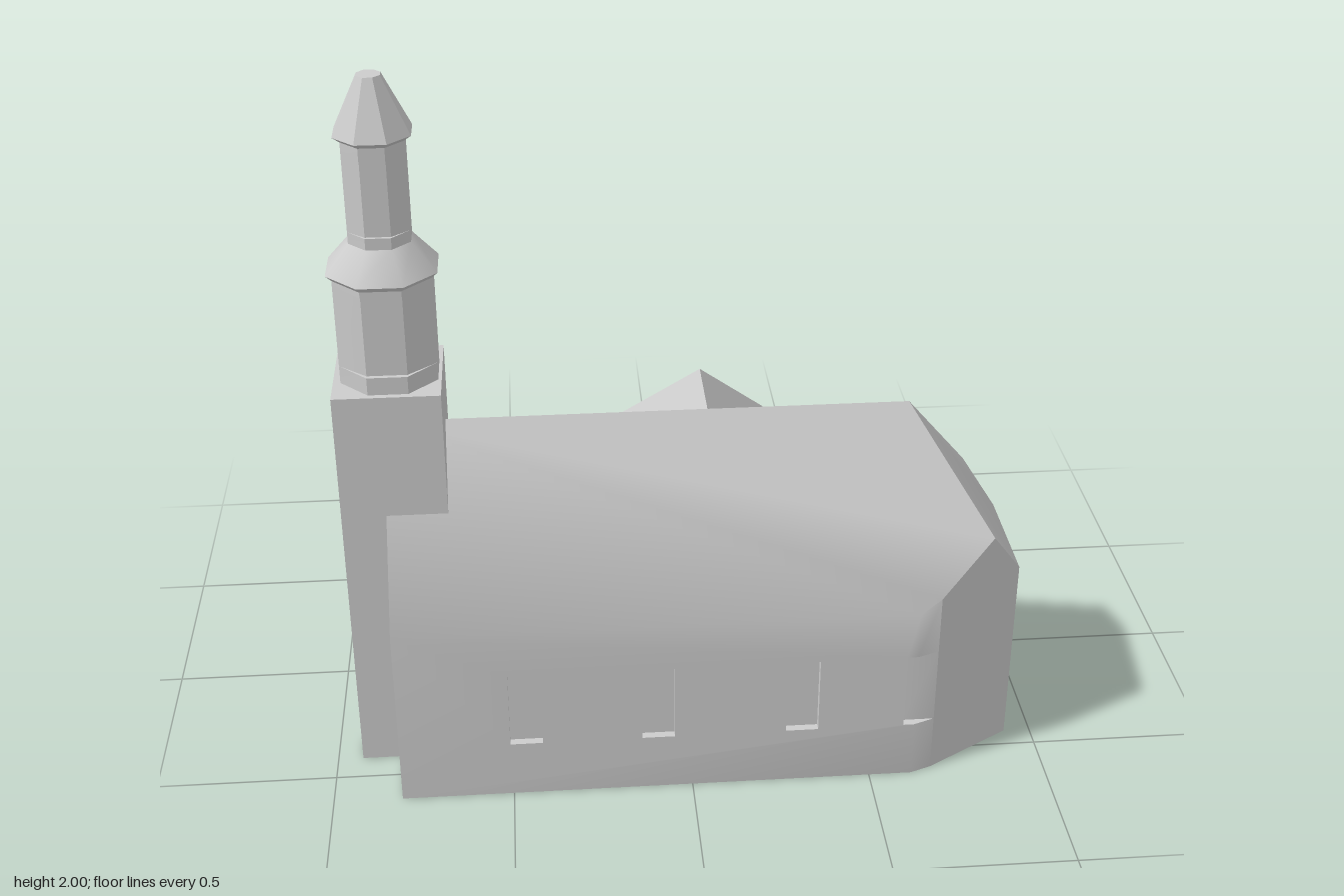
import * as THREE from 'three';
import { toCreasedNormals, mergeGeometries } from 'three/addons/utils/BufferGeometryUtils.js';

const V = (x, y, z) => new THREE.Vector3(x, y, z);

// Collects flat polygons, each turned to face a given outward direction
class Faces {
  constructor() { this.pos = []; }
  tri(a, b, c, out) {
    const n = b.clone().sub(a).cross(c.clone().sub(a));
    for (const p of n.dot(out) < 0 ? [a, c, b] : [a, b, c]) this.pos.push(p.x, p.y, p.z);
  }
  poly(out, ...pts) {
    for (let i = 1; i < pts.length - 1; i++) this.tri(pts[0], pts[i], pts[i + 1], out);
  }
  // Flat wall in (u, v), with recessed rectangular windows; map(u, v, depth) gives the 3D point
  wall(contour, windows, map, out, depth) {
    const c = contour.map(p => new THREE.Vector2(...p));
    const holes = windows.map(([u0, u1, v0, v1]) =>
      [[u0, v0], [u0, v1], [u1, v1], [u1, v0]].map(p => new THREE.Vector2(...p)));
    const tris = THREE.ShapeUtils.triangulateShape(c, holes);
    const pts = [...c, ...holes.flat()].map(p => map(p.x, p.y, 0));
    tris.forEach(t => this.tri(pts[t[0]], pts[t[1]], pts[t[2]], out));
    for (const h of holes) {
      const front = h.map(p => map(p.x, p.y, 0)), back = h.map(p => map(p.x, p.y, depth));
      const mid = front[0].clone().add(front[2]).multiplyScalar(0.5);
      this.poly(out, ...back);
      for (let i = 0; i < 4; i++) {
        const j = (i + 1) % 4;
        const inward = mid.clone().sub(front[i].clone().add(front[j]).multiplyScalar(0.5));
        this.poly(inward, front[i], front[j], back[j], back[i]);
      }
    }
  }
  geometry(crease) {
    const g = new THREE.BufferGeometry();
    g.setAttribute('position', new THREE.Float32BufferAttribute(this.pos, 3));
    return toCreasedNormals(g, crease);
  }
}

const X = V(1, 0, 0), Y = V(0, 1, 0), Z = V(0, 0, 1);
const neg = v => v.clone().negate();
const RIDGE = 1.02, MID = 0.275, SOUTH = 0.605, NORTH = -0.055, WEST = -0.81, EAST = 0.925, EAVE = 0.54;

function naveGeometry() {
  const f = new Faces();
  const r0 = V(WEST, RIDGE, MID), r1 = V(0.62, RIDGE, MID);
  const sw = V(WEST, EAVE, SOUTH), nw = V(WEST, EAVE, NORTH);
  const s1 = V(0.62, EAVE, SOUTH), s2 = V(0.68, 0.572, 0.583), s3 = V(0.835, 0.703, 0.493), s4 = V(EAST, 0.57, 0.44);
  const n1 = V(0.66, EAVE, NORTH), n3 = V(0.837, 0.70, 0.055), n4 = V(EAST, 0.57, 0.11);
  const at = (p, y) => V(p.x, y, p.z);
  const g = p => at(p, 0);

  // South wall, notched at its end for the corner window
  const w0 = 0.17, w1 = 0.4;
  f.wall([[WEST, 0], [0.62, 0], [0.62, w0], [0.59, w0], [0.59, w1], [0.62, w1], [0.62, EAVE], [WEST, EAVE]],
    [-0.46, -0.095, 0.305].map(x => [x - 0.045, x + 0.045, w0, w1]),
    (u, v, d) => V(u, v, SOUTH - d), Z, 0.022);
  // Corner window
  f.poly(Z, g(s1), g(s2), at(s2, w0), at(s1, w0));
  f.poly(Z, at(s1, w1), at(s2, w1), s2, s1);
  f.poly(Z, V(0.59, w0, s2.z), at(s2, w0), at(s2, w1), V(0.59, w1, s2.z));
  f.poly(X, V(0.59, w0, SOUTH), V(0.59, w0, s2.z), V(0.59, w1, s2.z), V(0.59, w1, SOUTH));
  for (const [y, out] of [[w0, Y], [w1, neg(Y)]])
    f.poly(out, V(0.59, y, SOUTH), at(s1, y), at(s2, y), V(0.59, y, s2.z));

  // Choir walls, north wall, west gable
  f.poly(V(1, 0, 1), s3, s2, g(s2), g(s4), s4);
  f.poly(X, g(s4), g(n4), n4, s4);
  f.poly(V(1, 0, -1), n3, n4, g(n4), g(n1), n1);
  f.poly(neg(Z), g(n1), g(nw), nw, n1);
  f.poly(neg(X), r0, sw, g(sw), g(nw), nw);
  // Roof slopes, hipped end, floor
  f.poly(V(0, 1, 1), r0, r1, s3, s2, s1, sw);
  f.poly(V(0, 1, -1), r0, r1, n3, n1, nw);
  f.poly(V(1, 1, 0), r1, s3, s4, n4, n3);
  f.poly(neg(Y), ...[sw, s1, s2, s4, n4, n1, nw].map(g));
  return f.geometry(0.7);
}

function transeptGeometry() {
  const f = new Faces();
  const cx = 0.1, hw = 0.302, z0 = 0.04, z1 = -0.605, top = 0.82, eave = 0.467;
  const a = V(cx, top, z0), b = V(cx, top, -0.335);
  const P = (s, w, y, z) => V(cx + s * w, y, z);
  for (const s of [-1, 1]) {
    const out = V(s, 0, 0);
    // Side wall with two windows, and its roof slope
    f.wall([[z1, 0], [z0, 0], [z0, eave], [z1, eave]],
      [-0.21, -0.435].map(z => [z - 0.043, z + 0.043, 0.165, 0.37]),
      (u, v, d) => P(s, hw - d, v, u), out, 0.022);
    f.poly(V(s, 1, 0), a, b, P(s, 0.274, 0.5, z1), P(s, hw, eave, z1), P(s, hw, eave, z0));
  }
  // Hip, end wall, inner gable, floor
  f.poly(V(0, 1, -1), b, P(-1, 0.274, 0.5, z1), P(1, 0.274, 0.5, z1));
  f.poly(neg(Z), P(-1, 0.274, 0.5, z1), P(1, 0.274, 0.5, z1), P(1, hw, eave, z1),
    P(1, hw, 0, z1), P(-1, hw, 0, z1), P(-1, hw, eave, z1));
  f.poly(Z, a, P(1, hw, eave, z0), P(1, hw, 0, z0), P(-1, hw, 0, z0), P(-1, hw, eave, z0));
  f.poly(neg(Y), P(1, hw, 0, z1), P(-1, hw, 0, z1), P(-1, hw, 0, NORTH), P(1, hw, 0, NORTH));
  return f.geometry(0.75);
}

// Octagonal ring section; sizes are half widths across the flats
function octagon(r0, r1, y0, y1, clampZ = 1) {
  const k = 1 / Math.cos(Math.PI / 8);
  const g = new THREE.CylinderGeometry(r1 * k, r0 * k, y1 - y0, 8);
  g.rotateY(Math.PI / 8).translate(0, (y0 + y1) / 2, 0);
  const p = g.attributes.position;
  for (let i = 0; i < p.count; i++) p.setZ(i, THREE.MathUtils.clamp(p.getZ(i), -clampZ, clampZ));
  return g;
}

// Octagonal stage whose front and back faces are sunk between two heights
const stage = (r, y0, w0, w1, y1, depth) => toCreasedNormals(mergeGeometries([
  octagon(r, r, y0, w0), octagon(r, r, w0, w1, r - depth), octagon(r, r, w1, y1)]), 0.5);

export function createModel() {
  const model = new THREE.Group();
  model.name = 'church';
  const stone = new THREE.MeshStandardMaterial({ color: 0xcccccc });
  stone.name = 'pale grey stone';
  const add = (name, geo, parent = model) => {
    const m = new THREE.Mesh(geo, stone);
    m.name = name;
    parent.add(m);
    return m;
  };

  add('nave', naveGeometry());
  add('transept', transeptGeometry());

  // Tower base with a recessed west doorway
  const x0 = -0.93, x1 = -0.645, h = 0.144, door = 0.055, doorTop = 0.19;
  const plan = new THREE.Shape([[x0, -h], [x1, -h], [x1, h], [x0, h], [x0, door],
    [x0 + 0.03, door], [x0 + 0.03, -door], [x0, -door]].map(p => new THREE.Vector2(...p)));
  const base = new THREE.ExtrudeGeometry(plan, { depth: doorTop, bevelEnabled: false });
  base.rotateX(-Math.PI / 2);
  add('towerDoorway', base).position.z = MID;
  add('towerShaft', new THREE.BoxGeometry(x1 - x0, 1.17 - doorTop, 2 * h))
    .position.set((x0 + x1) / 2, (1.17 + doorTop) / 2, MID);

  // Belfry, lantern and their roofs
  const spire = new THREE.Group();
  spire.name = 'spire';
  spire.position.set(-0.782, 0, MID);
  model.add(spire);
  add('belfry', stage(0.128, 1.17, 1.22, 1.45, 1.468, 0.012), spire);
  add('belfryCornice', toCreasedNormals(octagon(0.128, 0.143, 1.466, 1.482), 0.5), spire);
  add('belfryRoof', toCreasedNormals(octagon(0.143, 0.08, 1.482, 1.56), 0.7), spire);
  add('lantern', stage(0.08, 1.56, 1.592, 1.8, 1.838, 0.008), spire);
  add('lanternCornice', toCreasedNormals(octagon(0.08, 0.098, 1.835, 1.85), 0.5), spire);
  add('spireRoof', toCreasedNormals(octagon(0.098, 0.03, 1.85, 2), 0.5), spire);
  return model;
}
